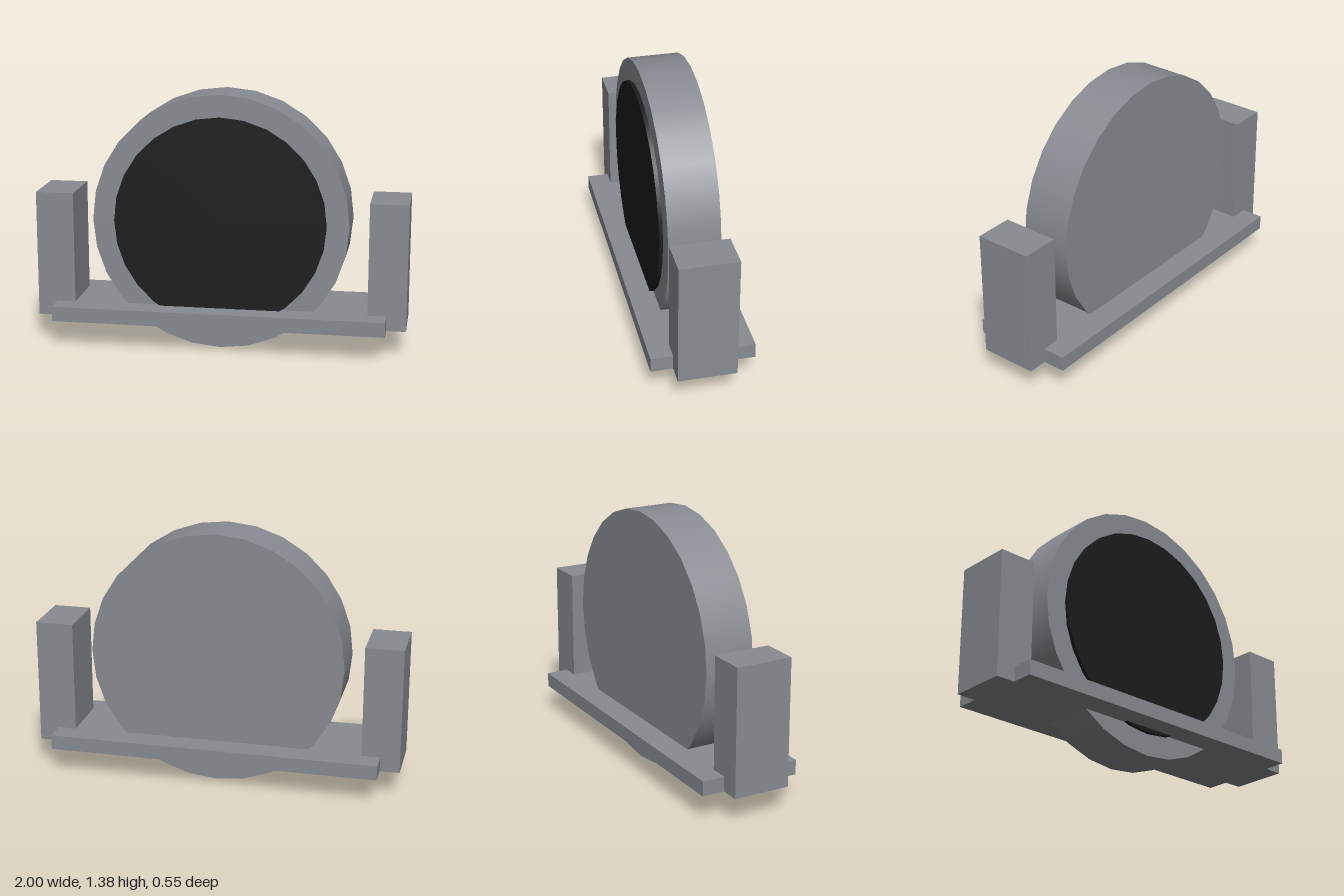
import * as THREE from 'three';

export function createModel() {
  const model = new THREE.Group();
  const grey = new THREE.MeshStandardMaterial({ color: 0x888c92 });
  grey.name = 'steel grey';
  const black = new THREE.MeshStandardMaterial({ color: 0x1c1c1c });
  black.name = 'soft black';

  const add = (name, geometry, material, x, y, z) => {
    const mesh = new THREE.Mesh(geometry, material);
    mesh.name = name;
    mesh.position.set(x, y, z);
    model.add(mesh);
  };

  // Upright disc whose round faces look along z
  const disc = (radius, depth) =>
    new THREE.CylinderGeometry(radius, radius, depth, 28).rotateX(Math.PI / 2);

  // Round housing with the dark face set on its front
  add('roundHousing', disc(0.69, 0.274), grey, 0, 0.69, 0);
  add('darkFace', disc(0.57, 0.06), black, 0, 0.69, 0.128);

  // Flat base plate that the housing passes through
  add('basePlate', new THREE.BoxGeometry(1.79, 0.08, 0.55), grey, 0, 0.185, 0);

  // Upright block at each end of the plate
  for (const [name, side] of [['leftPost', 1], ['rightPost', -1]]) {
    add(name, new THREE.BoxGeometry(0.205, 0.685, 0.31), grey, side * 0.8975, 0.4875, 0.002);
  }

  return model;
}
